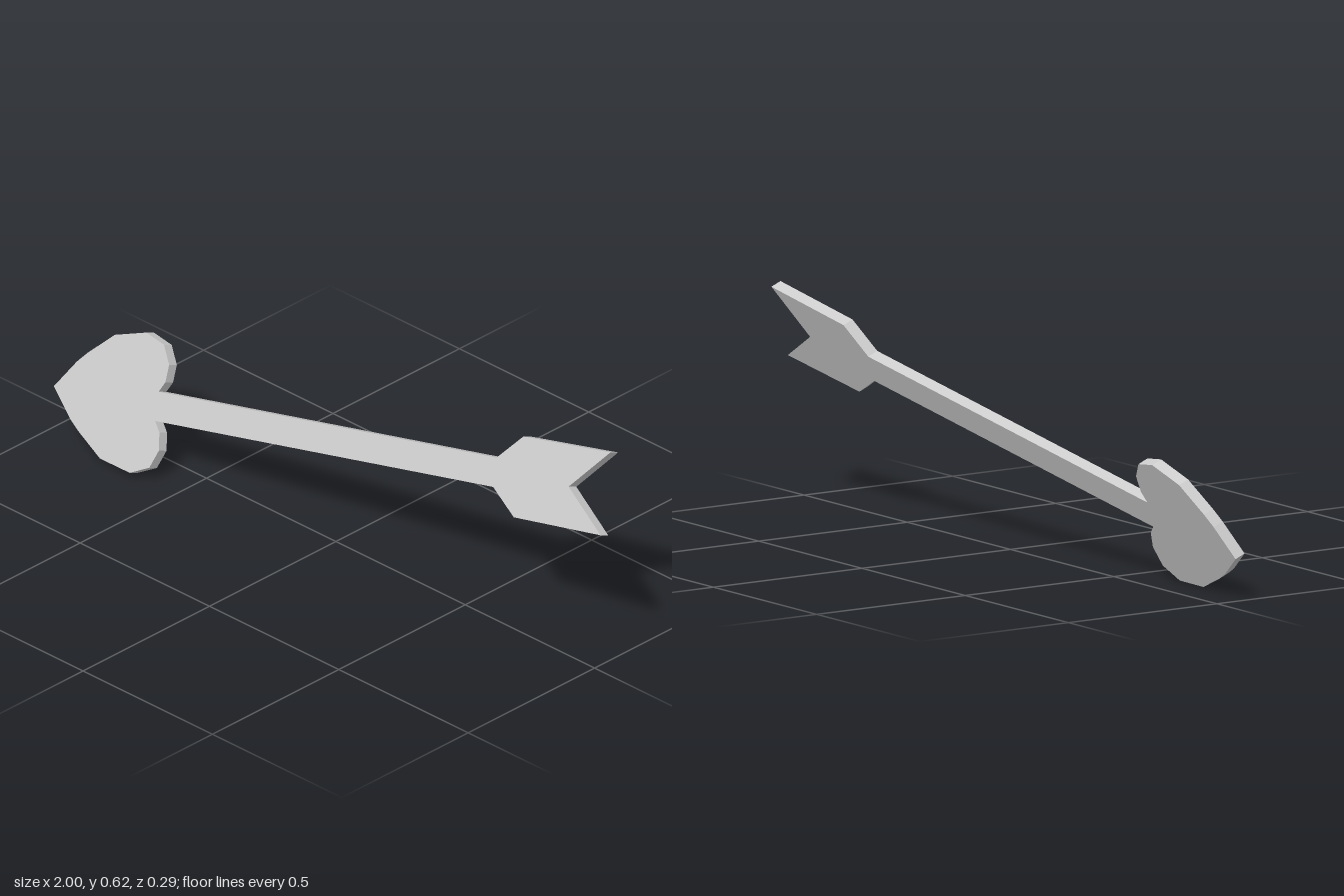
import * as THREE from 'three';

const THICKNESS = 0.033;
const HALF_SHAFT = 0.041;

export function createModel() {
  const model = new THREE.Group();
  const arrow = new THREE.Group();
  arrow.name = 'arrow';
  const material = new THREE.MeshStandardMaterial({ color: 0xcccccc, flatShading: true });

  // Flat plate from the upper half of an outline, mirrored across the arrow's axis
  function addPlate(name, half) {
    const mirrored = half.filter(p => p[1] > 0).reverse().map(([x, y]) => [x, -y]);
    const shape = new THREE.Shape([...half, ...mirrored].map(p => new THREE.Vector2(...p)));
    const geometry = new THREE.ExtrudeGeometry(shape, { depth: THICKNESS, bevelEnabled: false });
    geometry.translate(0, 0, -THICKNESS / 2);
    const mesh = new THREE.Mesh(geometry, material);
    mesh.name = name;
    arrow.add(mesh);
  }

  // Heart-shaped tip
  addPlate('heartHead', [
    [-1.022, 0], [-0.95, 0.08], [-0.916, 0.109], [-0.826, 0.173], [-0.714, 0.196],
    [-0.646, 0.172], [-0.619, 0.12], [-0.625, 0.07], [-0.645, HALF_SHAFT],
  ]);

  // Straight shaft
  addPlate('shaft', [[-0.645, HALF_SHAFT], [0.59, HALF_SHAFT]]);

  // Notched tail feathers
  addPlate('fletching', [[0.59, HALF_SHAFT], [0.677, 0.113], [0.995, 0.116], [0.86, 0]]);

  // Rising to the model's left and leaning back
  arrow.rotation.set(THREE.MathUtils.degToRad(-23), 0, THREE.MathUtils.degToRad(12));
  model.add(arrow);

  // Centre on x and z, stand on the ground
  model.updateMatrixWorld(true);
  const box = new THREE.Box3().setFromObject(model, true);
  const centre = box.getCenter(new THREE.Vector3());
  arrow.position.set(-centre.x, -box.min.y, -centre.z);
  return model;
}
